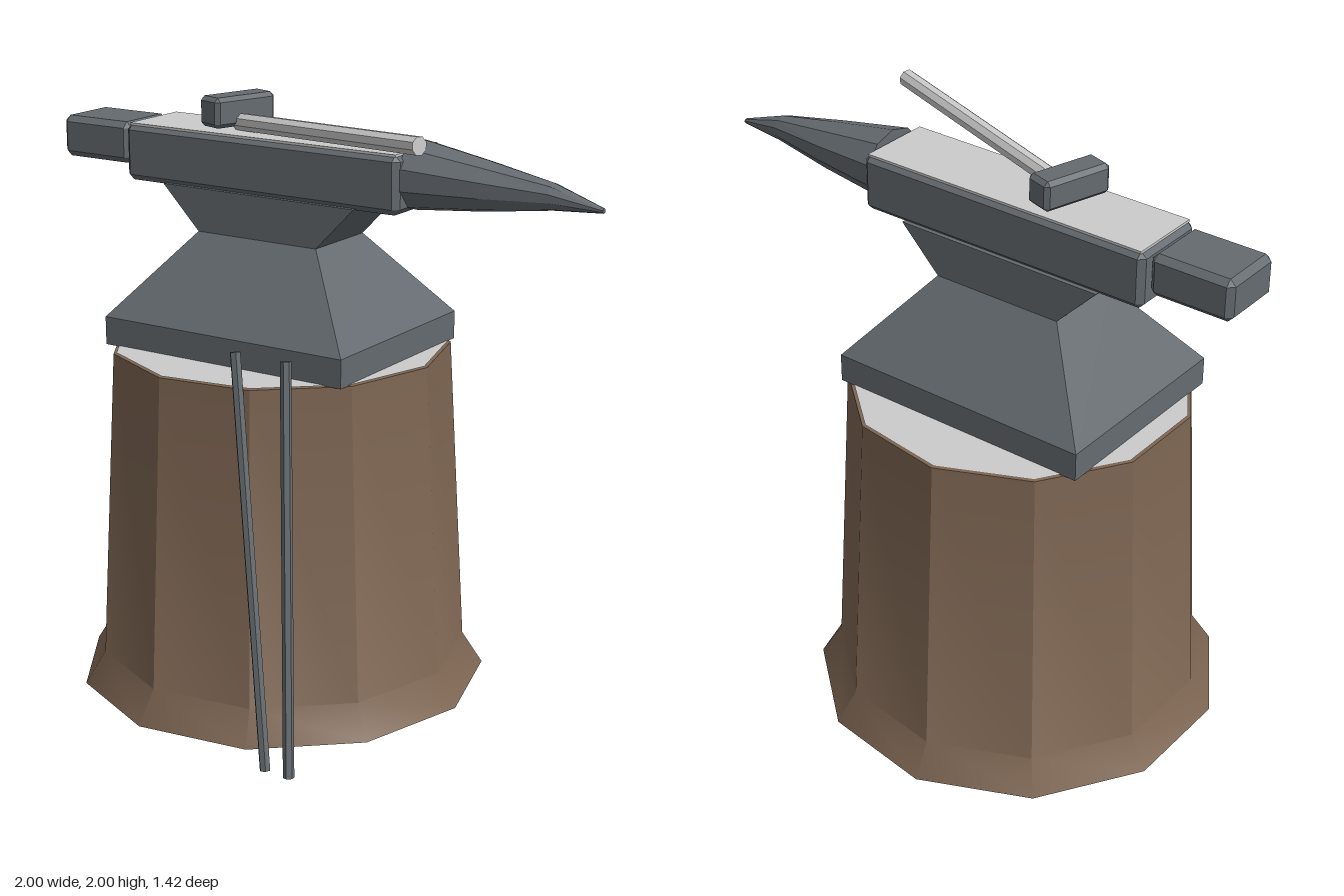
import * as THREE from 'three';
import { toCreasedNormals } from 'three/addons/utils/BufferGeometryUtils.js';
import { ConvexGeometry } from 'three/addons/geometries/ConvexGeometry.js';

const paint = (color) => new THREE.MeshStandardMaterial({ color, flatShading: true });

// Box with all edges cut at 45 degrees
function chamferBox(w, h, d, c) {
  const pts = [];
  for (const sx of [-1, 1]) for (const sy of [-1, 1]) for (const sz of [-1, 1]) {
    const x = w / 2, y = h / 2, z = d / 2;
    pts.push(
      new THREE.Vector3(sx * x, sy * (y - c), sz * (z - c)),
      new THREE.Vector3(sx * (x - c), sy * y, sz * (z - c)),
      new THREE.Vector3(sx * (x - c), sy * (y - c), sz * z));
  }
  return new ConvexGeometry(pts);
}

// Closed solid through rings of points, each counter-clockwise about the direction of travel
function loft(rings) {
  const n = rings[0].length, last = (rings.length - 1) * n, index = [];
  for (let i = 0; i < rings.length - 1; i++) {
    for (let j = 0; j < n; j++) {
      const a = i * n + j, b = i * n + (j + 1) % n;
      index.push(a, b, b + n, a, b + n, a + n);
    }
  }
  for (let j = 1; j < n - 1; j++) index.push(0, j + 1, j, last, last + j, last + j + 1);
  const g = new THREE.BufferGeometry();
  g.setAttribute('position', new THREE.Float32BufferAttribute(rings.flat(2), 3));
  g.setIndex(index);
  g.computeVertexNormals();
  return g;
}

// Straight rod between two points
function rod(a, b, radius, sides, material) {
  const from = new THREE.Vector3(...a), to = new THREE.Vector3(...b);
  const dir = to.clone().sub(from);
  const mesh = new THREE.Mesh(new THREE.CylinderGeometry(radius, radius, dir.length(), sides), material);
  mesh.position.copy(from).add(to).multiplyScalar(0.5);
  mesh.quaternion.setFromUnitVectors(new THREE.Vector3(0, 1, 0), dir.normalize());
  return mesh;
}

export function createModel() {
  const model = new THREE.Group();
  model.name = 'anvilOnStump';
  const iron = paint(0x656b70), steel = paint(0xcccccf);
  const cx = -0.175, cz = -0.015;

  const add = (name, mesh, x, y, z) => {
    mesh.name = name;
    if (x !== undefined) mesh.position.set(x, y, z);
    model.add(mesh);
    return mesh;
  };

  // Eleven-sided stump, smooth down its flare and creased between its sides
  const profile = [[0, 0.01], [0.7, 0.01], [0.63, 0.12], [0.57, 1.18], [0.55, 1.18]]
    .map(([r, y]) => new THREE.Vector2(r, y));
  const bark = new THREE.LatheGeometry(profile, 11, Math.PI / 2);
  add('stump', new THREE.Mesh(toCreasedNormals(bark, 0.53),
    new THREE.MeshStandardMaterial({ color: 0x7d6552 })), cx, 0, cz);
  const cut = new THREE.CircleGeometry(0.56, 11).rotateX(-Math.PI / 2);
  add('stumpTop', new THREE.Mesh(cut, paint(0xcccccc)), cx, 1.183, cz);

  // Foot, waist and flare under the body: [y, half width, half depth]
  const pedestal = [
    [1.18, 0.467, 0.352], [1.275, 0.467, 0.352], [1.555, 0.233, 0.14], [1.7, 0.375, 0.14],
  ].map(([y, x, z]) => [[x, y, z], [x, y, -z], [-x, y, -z], [-x, y, z]]);
  add('pedestal', new THREE.Mesh(loft(pedestal), iron), cx, 0, cz);

  // Body with a bright working face, and the heel block behind it
  add('body', new THREE.Mesh(chamferBox(1.07, 0.19, 0.28, 0.02), iron), cx, 1.79, cz);
  add('workingFace', new THREE.Mesh(new THREE.BoxGeometry(1.04, 0.008, 0.255), steel), cx, 1.884, cz);
  add('heel', new THREE.Mesh(chamferBox(0.285, 0.14, 0.23, 0.02), iron), -0.8575, 1.812, cz);

  // Horn tapering to a point: [x, centre height, half height, half depth]
  const horn = [
    [0.35, 1.808, 0.115, 0.13], [0.6, 1.798, 0.081, 0.089],
    [0.83, 1.791, 0.043, 0.043], [1.0, 1.767, 0.008, 0.01],
  ].map(([x, y, ry, rz]) => Array.from({ length: 10 }, (_, i) => {
    const t = i / 10 * Math.PI * 2;
    return [x, y + ry * Math.cos(t), rz * Math.sin(t)];
  }));
  add('horn', new THREE.Mesh(loft(horn), iron), 0, 0, cz);

  // Hammer resting on the body
  const head = add('hammerHead',
    new THREE.Mesh(chamferBox(0.1, 0.1, 0.245, 0.014), iron), -0.343, 1.95, cz);
  head.rotation.y = -0.294;
  add('hammerHandle', rod([-0.32, 1.913, 0.01], [0.52, 1.957, 0.262], 0.03, 8, paint(0xcccccc)));

  // Two tong arms leaning on the stump
  add('tongArm1', rod([0.01, 1.297, 0.505], [0.243, 0.004, 0.695], 0.018, 6, iron));
  add('tongArm2', rod([0.2, 1.297, 0.505], [0.333, 0.004, 0.695], 0.018, 6, iron));

  return model;
}
